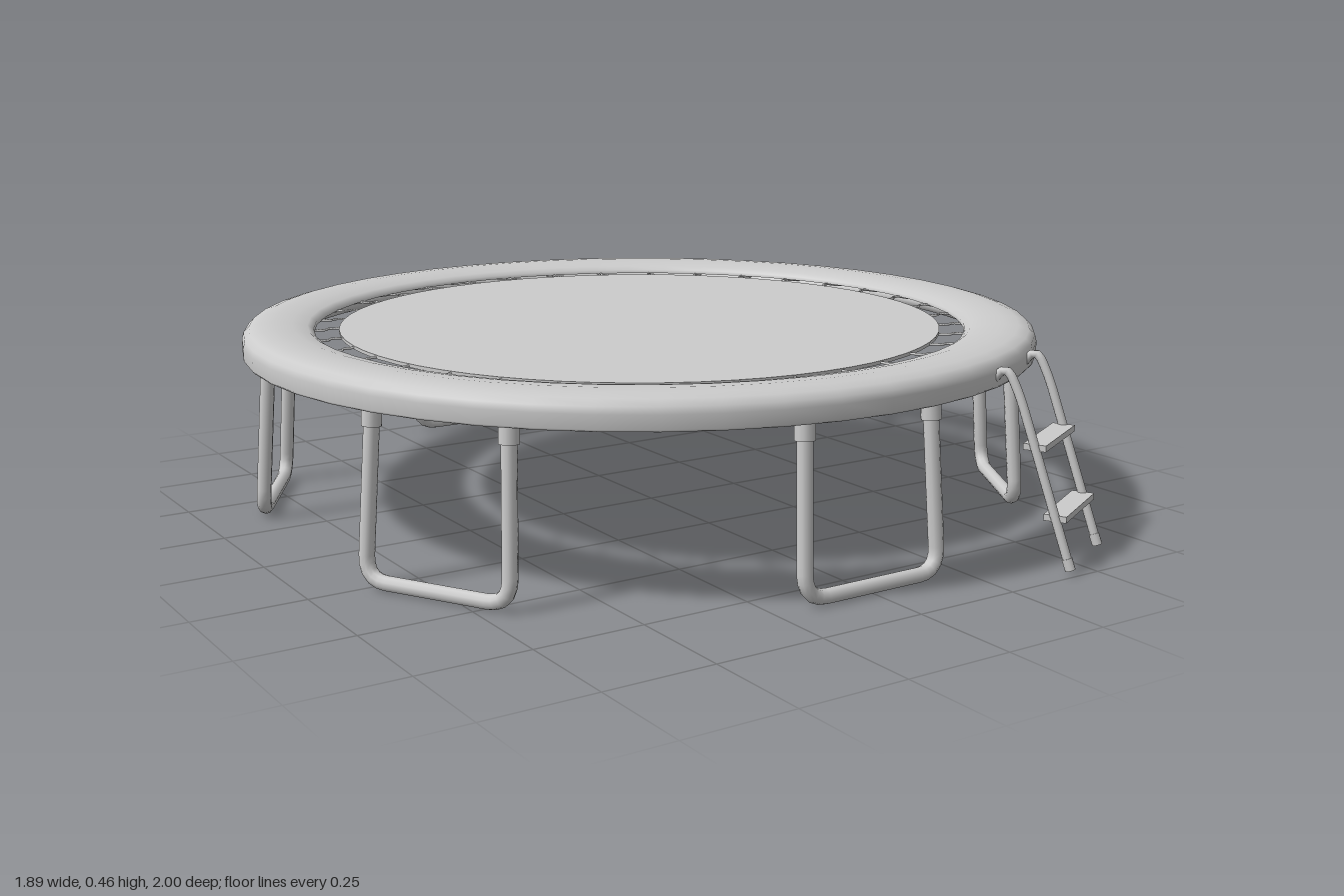
import * as THREE from 'three';

const material = new THREE.MeshStandardMaterial({ color: 0xcccccc });
const doubleSided = new THREE.MeshStandardMaterial({ color: 0xcccccc, side: THREE.DoubleSide });
const V = (x, y, z) => new THREE.Vector3(x, y, z);

function addMesh(parent, name, geometry, mat = material) {
  const mesh = new THREE.Mesh(geometry, mat);
  mesh.name = name;
  parent.add(mesh);
  return mesh;
}

// Polyline whose inner corners are rounded off by the given distance
function roundedPath(points, bend) {
  const path = new THREE.CurvePath();
  let start = points[0];
  for (let i = 1; i < points.length - 1; i++) {
    const p = points[i];
    const before = p.clone().add(points[i - 1].clone().sub(p).setLength(bend));
    const after = p.clone().add(points[i + 1].clone().sub(p).setLength(bend));
    path.add(new THREE.LineCurve3(start, before));
    path.add(new THREE.QuadraticBezierCurve3(before, p, after));
    start = after;
  }
  path.add(new THREE.LineCurve3(start, points[points.length - 1]));
  return path;
}

// Closed cylinder running from a to b
function addRod(parent, name, a, b, radius) {
  const rod = addMesh(parent, name, new THREE.CylinderGeometry(radius, radius, a.distanceTo(b), 12));
  rod.position.copy(a).lerp(b, 0.5);
  rod.quaternion.setFromUnitVectors(V(0, 1, 0), b.clone().sub(a).normalize());
  return rod;
}

// U-shaped leg, splayed outward, with a socket at each top end
function createLeg() {
  const leg = new THREE.Group();
  leg.name = 'leg';
  const path = roundedPath([
    V(-0.165, 0.385, 0.873), V(-0.177, 0.017, 0.9),
    V(0.177, 0.017, 0.9), V(0.165, 0.385, 0.873),
  ], 0.055);
  addMesh(leg, 'legTube', new THREE.TubeGeometry(path, 60, 0.017, 10));
  for (const s of [-1, 1]) {
    addRod(leg, 'legSocket', V(s * 0.165, 0.4, 0.872), V(s * 0.1665, 0.345, 0.876), 0.022);
  }
  return leg;
}

// Ladder with hooked rails and two flat steps
function createLadder() {
  const ladder = new THREE.Group();
  ladder.name = 'ladder';
  for (const s of [-1, 1]) {
    const x = s * 0.105;
    const path = roundedPath([V(x, 0.4, 0.925), V(x, 0.445, 0.957), V(x, 0.38, 0.99), V(x, 0.012, 1.118)], 0.033);
    addMesh(ladder, 'ladderRail', new THREE.TubeGeometry(path, 40, 0.01, 10));
    addRod(ladder, 'railFoot', V(x, 0.035, 1.11), V(x, 0.01, 1.119), 0.0115);
  }
  for (const [y, z] of [[0.27, 1.028], [0.12, 1.08]]) {
    addMesh(ladder, 'ladderStep', new THREE.BoxGeometry(0.215, 0.014, 0.05)).position.set(0, y, z);
  }
  return ladder;
}

export function createModel() {
  const model = new THREE.Group();
  model.name = 'trampoline';
  const body = new THREE.Group();
  body.name = 'body';
  body.position.z = -0.0525;
  model.add(body);

  // Padded cover: domed top, outer skirt and recessed underside
  const profile = [
    [0.78, 0.434], [0.781, 0.443], [0.795, 0.452], [0.83, 0.459], [0.87, 0.462], [0.905, 0.46],
    [0.93, 0.453], [0.943, 0.44], [0.947, 0.425], [0.947, 0.395], [0.943, 0.39],
    [0.935, 0.395], [0.93, 0.425], [0.91, 0.434], [0.78, 0.434],
  ].map(([r, y]) => new THREE.Vector2(r, y)).reverse();
  addMesh(body, 'edgePad', new THREE.LatheGeometry(profile, 48), doubleSided);

  // Tubular frame ring under the pad
  const frame = addMesh(body, 'frameRing', new THREE.TorusGeometry(0.875, 0.02, 12, 64));
  frame.rotation.x = Math.PI / 2;
  frame.position.y = 0.408;

  // Jumping mat
  const mat = addMesh(body, 'jumpingMat', new THREE.CylinderGeometry(0.722, 0.722, 0.008, 64));
  mat.position.y = 0.435;

  // S-shaped wire springs between mat and frame
  const springPath = new THREE.CatmullRomCurve3([
    V(-0.011, 0.434, 0.715), V(-0.01, 0.434, 0.735), V(-0.007, 0.434, 0.748),
    V(0.009, 0.434, 0.756), V(0.01, 0.434, 0.775), V(0.01, 0.429, 0.8), V(0.01, 0.42, 0.865),
  ]);
  const springGeometry = new THREE.TubeGeometry(springPath, 24, 0.003, 5);
  const springs = new THREE.Group();
  springs.name = 'springs';
  body.add(springs);
  for (let i = 0; i < 36; i++) {
    addMesh(springs, 'spring', springGeometry).rotation.y = ((i + 0.5) * Math.PI) / 18;
  }

  // Six legs evenly around the frame
  for (let i = 0; i < 6; i++) {
    const leg = createLeg();
    leg.rotation.y = (i * Math.PI) / 3;
    body.add(leg);
  }

  const ladder = createLadder();
  ladder.rotation.y = THREE.MathUtils.degToRad(28);
  body.add(ladder);

  return model;
}
